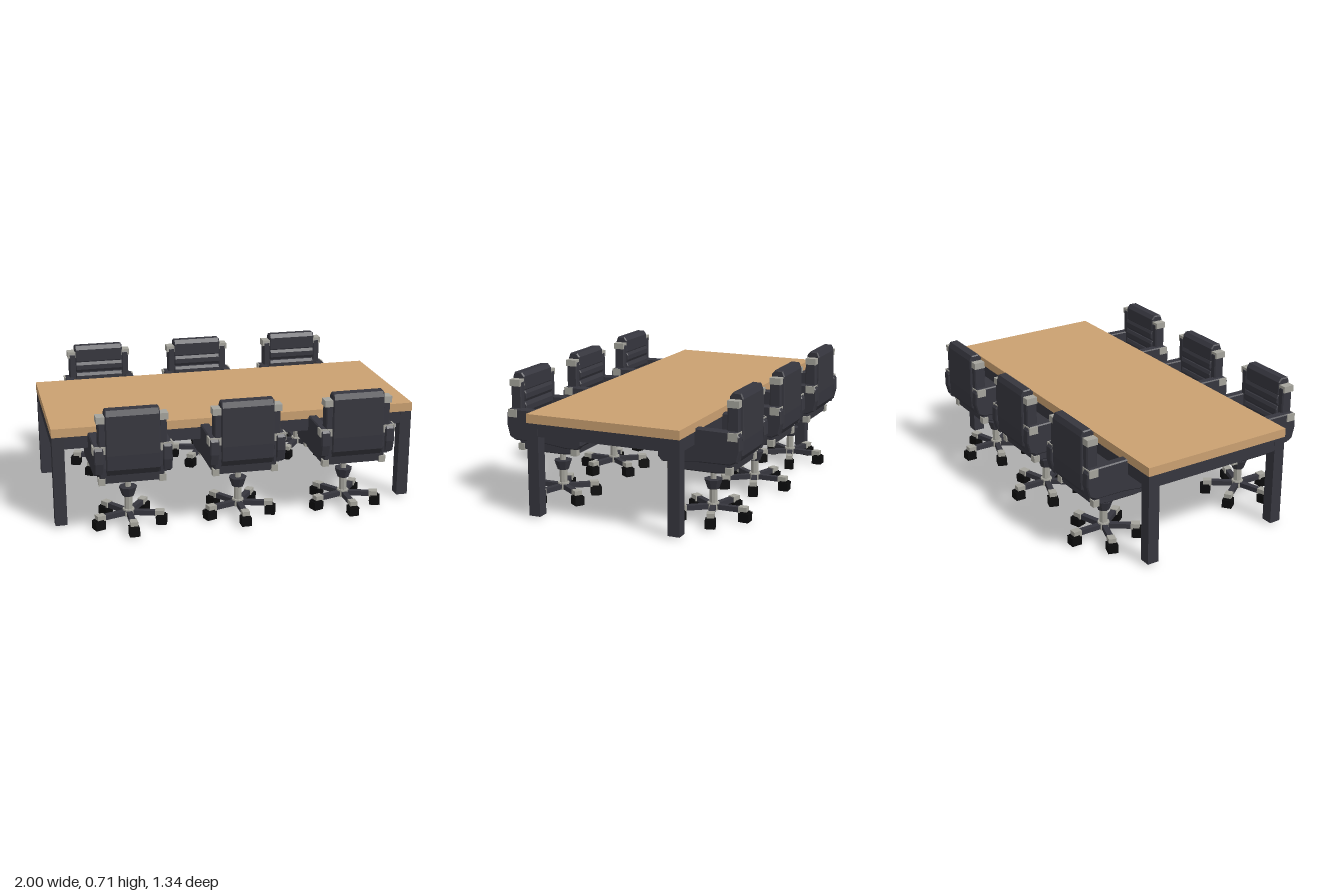
import * as THREE from 'three';

const mat = (name, color) => {
  const m = new THREE.MeshStandardMaterial({ color });
  m.name = name;
  return m;
};

export function createModel() {
  const wood = mat('wood', 0xcaa071);
  const dark = mat('charcoal', 0x36363e);
  const grey = mat('metal grey', 0xa5a49c);
  const black = mat('caster black', 0x0c0c0d);

  const add = (parent, name, geo, material, x = 0, y = 0, z = 0) => {
    const m = new THREE.Mesh(geo, material);
    m.name = name;
    m.position.set(x, y, z);
    parent.add(m);
    return m;
  };

  // Box given by its min and max corners
  const box = (parent, name, material, [x0, x1], [y0, y1], [z0, z1]) =>
    add(parent, name, new THREE.BoxGeometry(x1 - x0, y1 - y0, z1 - z0), material,
      (x0 + x1) / 2, (y0 + y1) / 2, (z0 + z1) / 2);

  // Side profile of [z, y] points, extruded across x with a small chamfer
  const profile = (parent, name, material, pts, x0, x1, bevel = 0.006) => {
    const shape = new THREE.Shape(pts.map(([z, y]) => new THREE.Vector2(z, y)));
    const depth = x1 - x0 - 2 * bevel;
    const geo = new THREE.ExtrudeGeometry(shape, {
      depth, bevelEnabled: bevel > 0, bevelThickness: bevel, bevelSize: bevel,
      bevelOffset: -bevel, bevelSegments: 1,
    });
    geo.translate(0, 0, -depth / 2).rotateY(-Math.PI / 2);
    return add(parent, name, geo, material, (x0 + x1) / 2);
  };

  // Faceted vertical cylinder between two heights
  const post = (parent, name, material, rTop, rBottom, y0, y1, z, sides = 8) => {
    const geo = new THREE.CylinderGeometry(rTop, rBottom, y1 - y0, sides).toNonIndexed();
    geo.computeVertexNormals();
    return add(parent, name, geo, material, 0, (y0 + y1) / 2, z);
  };

  const STEM_Z = 0.447;

  // Chair on the front side of the table, its back towards +z
  const makeChair = () => {
    const chair = new THREE.Group();
    chair.name = 'chair';

    // Star base with five casters
    const base = new THREE.Group();
    base.name = 'starBase';
    base.position.z = STEM_Z;
    chair.add(base);
    for (let i = 0; i < 5; i++) {
      const spoke = new THREE.Group();
      spoke.name = 'spoke';
      spoke.rotation.y = (i * Math.PI * 2) / 5;
      base.add(spoke);
      box(spoke, 'spokeArm', dark, [-0.015, 0.015], [0.05, 0.077], [0.015, 0.15]);
      box(spoke, 'spokeTip', grey, [-0.02, 0.02], [0.05, 0.081], [0.145, 0.192]);
      box(spoke, 'caster', black, [-0.027, 0.027], [0.004, 0.05], [0.15, 0.207]);
      box(spoke, 'casterTread', black, [-0.021, 0.021], [0, 0.057], [0.157, 0.2]);
    }

    // Column
    post(chair, 'hub', grey, 0.032, 0.035, 0.047, 0.085, STEM_Z, 10);
    post(chair, 'lowerColumn', grey, 0.022, 0.022, 0.08, 0.165, STEM_Z);
    post(chair, 'boot', dark, 0.05, 0.032, 0.16, 0.212, STEM_Z);
    post(chair, 'upperColumn', grey, 0.017, 0.017, 0.21, 0.28, STEM_Z);
    box(chair, 'mountPlate', grey, [-0.05, 0.05], [0.27, 0.295], [0.4, 0.495]);

    // Seat pan and cushion
    profile(chair, 'seatPan', dark,
      [[0.27, 0.3], [0.36, 0.292], [0.53, 0.292], [0.61, 0.3], [0.615, 0.36], [0.265, 0.36]], -0.17, 0.17);
    profile(chair, 'seatCushion', dark,
      [[0.225, 0.36], [0.25, 0.34], [0.6, 0.34], [0.6, 0.43], [0.26, 0.435], [0.23, 0.42]], -0.156, 0.156);
    for (const s of [-1, 1]) {
      for (const z of [0.263, 0.583]) {
        box(chair, 'panCorner', grey, [s * 0.16 - 0.018, s * 0.16 + 0.018], [0.293, 0.33], [z, z + 0.035]);
      }
    }

    // Backrest shell with rolled top
    profile(chair, 'backrest', dark,
      [[0.61, 0.35], [0.64, 0.355], [0.664, 0.39], [0.668, 0.47], [0.664, 0.68], [0.652, 0.71],
        [0.608, 0.712], [0.59, 0.69], [0.59, 0.62], [0.6, 0.6], [0.6, 0.4]], -0.142, 0.142);
    // Horizontal pads on the sitting side
    for (let i = 0; i < 3; i++) {
      const y = 0.42 + i * 0.066;
      profile(chair, 'backPad', dark,
        [[0.61, y], [0.61, y + 0.064], [0.592, y + 0.062], [0.583, y + 0.045], [0.583, y + 0.018], [0.592, y + 0.002]],
        -0.14, 0.14, 0.004);
    }

    // Side rails, metal clips and padded arms
    for (const s of [-1, 1]) {
      const span = (a, b) => (s > 0 ? [a, b] : [-b, -a]);
      profile(chair, 'backRail', dark,
        [[0.592, 0.36], [0.652, 0.36], [0.656, 0.4], [0.654, 0.66], [0.645, 0.672], [0.6, 0.672], [0.592, 0.66]],
        ...span(0.138, 0.178));
      box(chair, 'upperClip', grey, span(0.14, 0.186), [0.642, 0.678], [0.594, 0.656]);
      box(chair, 'armClip', grey, span(0.142, 0.209), [0.478, 0.52], [0.606, 0.658]);
      profile(chair, 'armrest', dark,
        [[0.222, 0.36], [0.245, 0.335], [0.32, 0.335], [0.45, 0.35], [0.62, 0.352], [0.655, 0.37],
          [0.67, 0.43], [0.668, 0.5], [0.652, 0.522], [0.43, 0.525], [0.4, 0.5], [0.25, 0.49], [0.222, 0.46]],
        ...span(0.154, 0.204));
    }
    return chair;
  };

  const model = new THREE.Group();
  model.name = 'conferenceTableWithChairs';

  // Table
  const table = new THREE.Group();
  table.name = 'table';
  model.add(table);
  box(table, 'tableTop', wood, [-1, 1], [0.508, 0.556], [-0.432, 0.432]);
  for (const s of [-1, 1]) {
    for (const t of [-1, 1]) {
      add(table, 'tableLeg', new THREE.BoxGeometry(0.064, 0.498, 0.064), dark, s * 0.966, 0.259, t * 0.398);
    }
    add(table, 'endApron', new THREE.BoxGeometry(0.05, 0.068, 0.74), dark, s * 0.971, 0.474, 0);
    add(table, 'sideApron', new THREE.BoxGeometry(1.87, 0.068, 0.05), dark, 0, 0.474, s * 0.403);
  }

  // Three chairs along each long side
  for (const x of [-0.605, 0, 0.605]) {
    for (const turn of [0, Math.PI]) {
      const chair = makeChair();
      chair.position.x = x;
      chair.rotation.y = turn;
      model.add(chair);
    }
  }
  return model;
}
